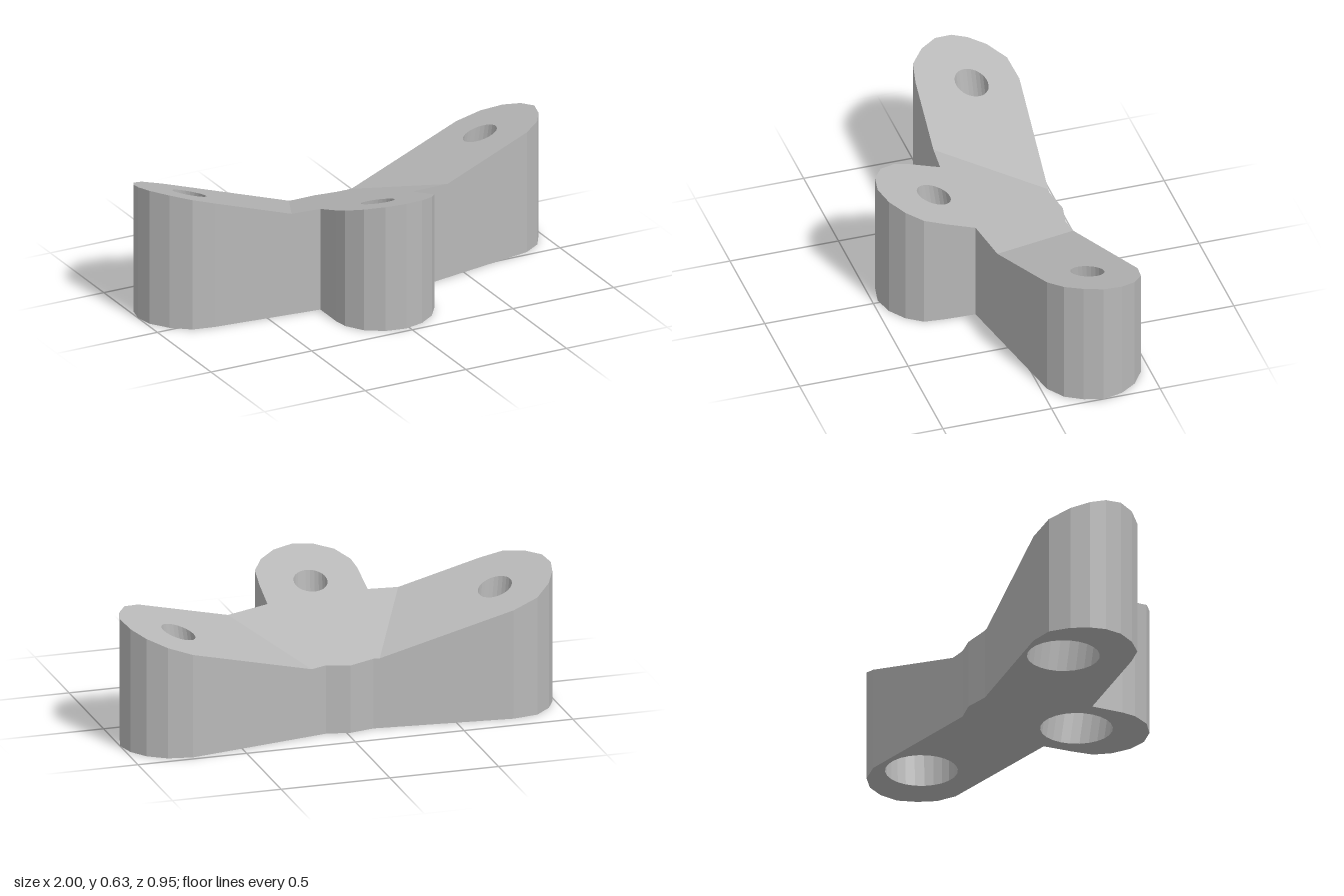
import * as THREE from 'three';

// Plan outline as [x, z], running back -> right arm -> front arm -> left arm
const OUTLINE = [
  [-0.13, -0.353], [-0.755, -0.415], [-0.87, -0.395], [-0.945, -0.325], [-0.985, -0.25],
  [-1, -0.18], [-0.985, -0.1], [-0.93, -0.02], [-0.85, 0.045], [-0.75, 0.065],
  [-0.25, 0.112], [-0.25, 0.26], [-0.24, 0.325], [-0.19, 0.405], [-0.11, 0.457],
  [-0.016, 0.475], [0.075, 0.452], [0.15, 0.4], [0.2, 0.33], [0.21, 0.23],
  [0.215, 0.098], [0.85, -0.027], [0.93, -0.08], [0.975, -0.155], [1, -0.24],
  [0.98, -0.33], [0.93, -0.405], [0.85, -0.46], [0.74, -0.48], [0.09, -0.356], [-0.016, -0.378],
];

// Sloping top of each arm: y = a + b*x + c*z, with its screw hole
const ARMS = [
  { name: 'right', a: 0.338, b: -0.319, c: 0.182, hole: [-0.74, -0.19] },
  { name: 'left', a: 0.312, b: 0.309, c: 0.136, hole: [0.735, -0.25] },
  { name: 'front', a: 0.437, b: -0.025, c: 0.33, hole: [-0.02, 0.215] },
];
const NECK_R = 0.075, BORE_R = 0.16, BORE_TOP = 0.28, SEGMENTS = 24;
const LEAN = 0.4; // how far the holes lean, as a share of the top slope

const height = (arm, [x, z]) => arm.a + arm.b * x + arm.c * z;

// Keep the part of a polygon where arm p is higher than arm q
function clip(poly, p, q) {
  const out = [];
  poly.forEach((s, i) => {
    const e = poly[(i + 1) % poly.length];
    const ds = height(p, s) - height(q, s), de = height(p, e) - height(q, e);
    if (ds >= 0) out.push(s);
    if (ds * de < 0) {
      const t = ds / (ds - de);
      out.push([s[0] + (e[0] - s[0]) * t, s[1] + (e[1] - s[1]) * t]);
    }
  });
  return out;
}

function quads(list) {
  const pos = [];
  for (const [a, b, c, d] of list) pos.push(...a, ...b, ...c, ...a, ...c, ...d);
  const g = new THREE.BufferGeometry();
  g.setAttribute('position', new THREE.Float32BufferAttribute(pos, 3));
  g.computeVertexNormals();
  return g;
}

// Circle in plan, shifted along the leaning hole axis at height y
function circle(arm, r, y) {
  const drop = height(arm, arm.hole) - y;
  const cx = arm.hole[0] - arm.b * LEAN * drop, cz = arm.hole[1] - arm.c * LEAN * drop;
  return Array.from({ length: SEGMENTS }, (_, i) => {
    const t = (i / SEGMENTS) * Math.PI * 2;
    return [cx + r * Math.cos(t), cz + r * Math.sin(t)];
  });
}

// Flat face with holes; sign -1 faces up, +1 faces down
function face(poly, holes, sign) {
  const toVec = ([x, z]) => new THREE.Vector2(x, sign * z);
  const shape = new THREE.Shape(poly.map(toVec));
  shape.holes = holes.map((h) => new THREE.Path(h.map(toVec)));
  return new THREE.ShapeGeometry(shape).rotateX((sign * Math.PI) / 2);
}

export function createModel() {
  const group = new THREE.Group();
  const grey = new THREE.MeshStandardMaterial({ color: 0xb8b8b8 });
  grey.name = 'plain grey';
  grey.flatShading = true;
  const add = (name, geometry) => {
    const mesh = new THREE.Mesh(geometry, grey);
    mesh.name = name;
    group.add(mesh);
  };

  for (const arm of ARMS) {
    const others = ARMS.filter((o) => o !== arm);
    const region = others.reduce((poly, o) => clip(poly, arm, o), OUTLINE);

    // Sloping top
    const top = face(region, [circle(arm, NECK_R, height(arm, arm.hole))], -1);
    const p = top.attributes.position;
    for (let i = 0; i < p.count; i++) p.setY(i, height(arm, [p.getX(i), p.getZ(i)]));
    top.computeVertexNormals();
    add(arm.name + 'ArmTop', top);

    // Side walls, leaving out the creases shared with the other arms
    const onCrease = (v, o) => Math.abs(height(arm, v) - height(o, v)) < 1e-6;
    const walls = [];
    region.forEach((s, i) => {
      const e = region[(i + 1) % region.length];
      if (others.some((o) => onCrease(s, o) && onCrease(e, o))) return;
      walls.push([[s[0], 0, s[1]], [e[0], 0, e[1]],
        [e[0], height(arm, e), e[1]], [s[0], height(arm, s), s[1]]]);
    });
    add(arm.name + 'ArmWalls', quads(walls));

    // Wide bore from below, stepping in to the narrow screw hole
    const level = (r, y) => circle(arm, r, y).map(([x, z]) => [x, y, z]);
    const rings = [level(BORE_R, 0), level(BORE_R, BORE_TOP), level(NECK_R, BORE_TOP),
      circle(arm, NECK_R, height(arm, arm.hole)).map((v) => [v[0], height(arm, v), v[1]])];
    const bore = [];
    for (let k = 0; k < 3; k++) {
      for (let i = 0; i < SEGMENTS; i++) {
        const j = (i + 1) % SEGMENTS;
        bore.push([rings[k][i], rings[k][j], rings[k + 1][j], rings[k + 1][i]]);
      }
    }
    add(arm.name + 'ScrewHole', quads(bore));
  }

  // Flat underside with the three bores
  add('underside', face(OUTLINE, ARMS.map((arm) => circle(arm, BORE_R, 0)), 1));
  return group;
}
